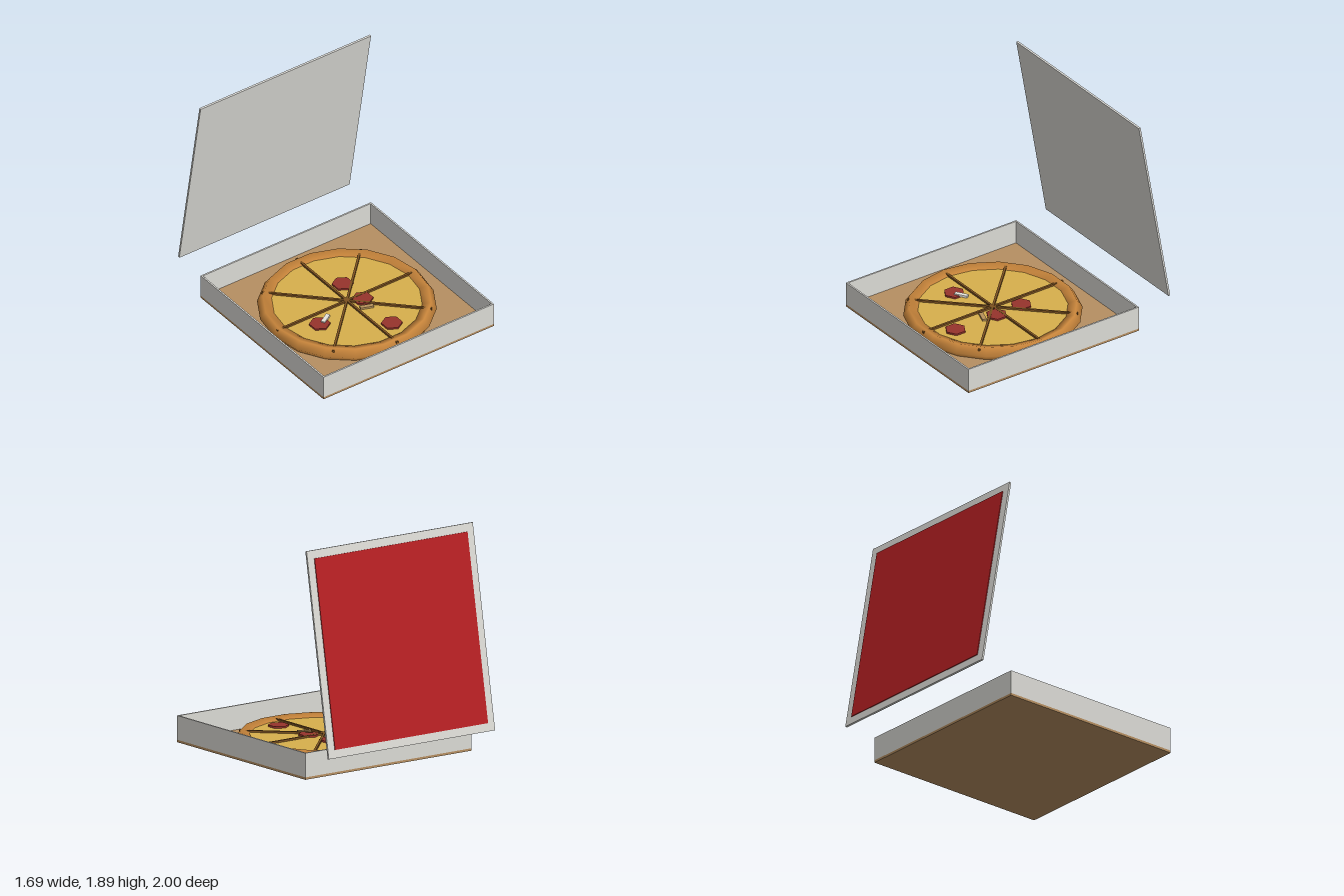
import * as THREE from 'three';

export function createModel() {
  const root = new THREE.Group();
  root.name = 'openPizzaBox';

  const mat = (name, color) => {
    const m = new THREE.MeshStandardMaterial({ color });
    m.name = name;
    return m;
  };
  const card = mat('paleCard', 0xdbdad5);
  const kraft = mat('kraftCard', 0xb68f62);
  const red = mat('redPrint', 0xb62023);
  const crustMat = mat('bakedCrust', 0xc8853b);
  const cheeseMat = mat('cheese', 0xd8b04c);
  const sausage = mat('pepperoni', 0x97342c);
  const cut = mat('sliceCut', 0x7c5120);
  const onion = mat('paleTopping', 0xeae8e0);
  const mushroom = mat('tanTopping', 0xb8935a);

  const add = (parent, name, geometry, material, x = 0, y = 0, z = 0) => {
    const mesh = new THREE.Mesh(geometry, material);
    mesh.name = name;
    mesh.position.set(x, y, z);
    parent.add(mesh);
    return mesh;
  };
  const box = (w, h, d) => new THREE.BoxGeometry(w, h, d);

  const SIZE = 1.69, HALF = SIZE / 2, CZ = 0.155, WALL = 0.014;

  // Tray: floor and four walls
  const tray = new THREE.Group();
  tray.name = 'tray';
  tray.position.z = CZ;
  root.add(tray);
  add(tray, 'trayFloor', box(SIZE, 0.02, SIZE), kraft, 0, 0.01, 0);
  for (const s of [-1, 1]) {
    add(tray, 'sideWall', box(WALL, 0.2, SIZE), card, s * (HALF - WALL / 2), 0.12, 0);
    add(tray, s > 0 ? 'frontWall' : 'backWall',
      box(SIZE - 2 * WALL, 0.2, WALL), card, 0, 0.12, s * (HALF - WALL / 2));
  }

  // Lid: tilted sheet with a printed panel on its rear face
  const lid = new THREE.Group();
  lid.name = 'lid';
  lid.position.set(0, 1.056, -0.844);
  lid.rotation.x = THREE.MathUtils.degToRad(10);
  root.add(lid);
  add(lid, 'lidSheet', box(SIZE, SIZE, 0.017), card);
  add(lid, 'lidPrint', box(1.555, 1.555, 0.007), red, 0, 0, -0.012);

  // Pizza: ring crust around a flat disc of cheese
  const pizza = new THREE.Group();
  pizza.name = 'pizza';
  pizza.position.z = 0.15;
  root.add(pizza);
  const crust = add(pizza, 'crust', new THREE.TorusGeometry(0.66, 0.065, 5, 18), crustMat, 0, 0.066, 0);
  crust.rotation.x = -Math.PI / 2;
  const cheese = add(pizza, 'cheese', new THREE.CylinderGeometry(0.64, 0.64, 0.075, 18), cheeseMat, 0, 0.0625, 0);
  cheese.rotation.y = Math.PI / 2;

  // Cuts between the eight slices
  for (let i = 0; i < 4; i++) {
    const bar = add(pizza, 'sliceCut', box(1.386, 0.02, 0.019), cut, 0, 0.1065 + i * 0.0001, 0);
    bar.rotation.y = i * Math.PI / 4;
  }

  // Pepperoni rounds
  const round = new THREE.CylinderGeometry(0.087, 0.087, 0.024, 6);
  for (const [x, z] of [[0.105, -0.055], [0.12, 0.2], [-0.36, 0.275], [0.117, 0.605]]) {
    add(pizza, 'pepperoni', round, sausage, x, 0.103, z - 0.15);
  }

  // Loose topping strips
  const strip = box(0.112, 0.018, 0.036);
  add(pizza, 'paleStrip', strip, onion, -0.288, 0.116, 0.105).rotation.y = 0.56;
  add(pizza, 'tanStrip', strip, mushroom, 0.082, 0.108, 0.16).rotation.y = -0.34;

  return root;
}
